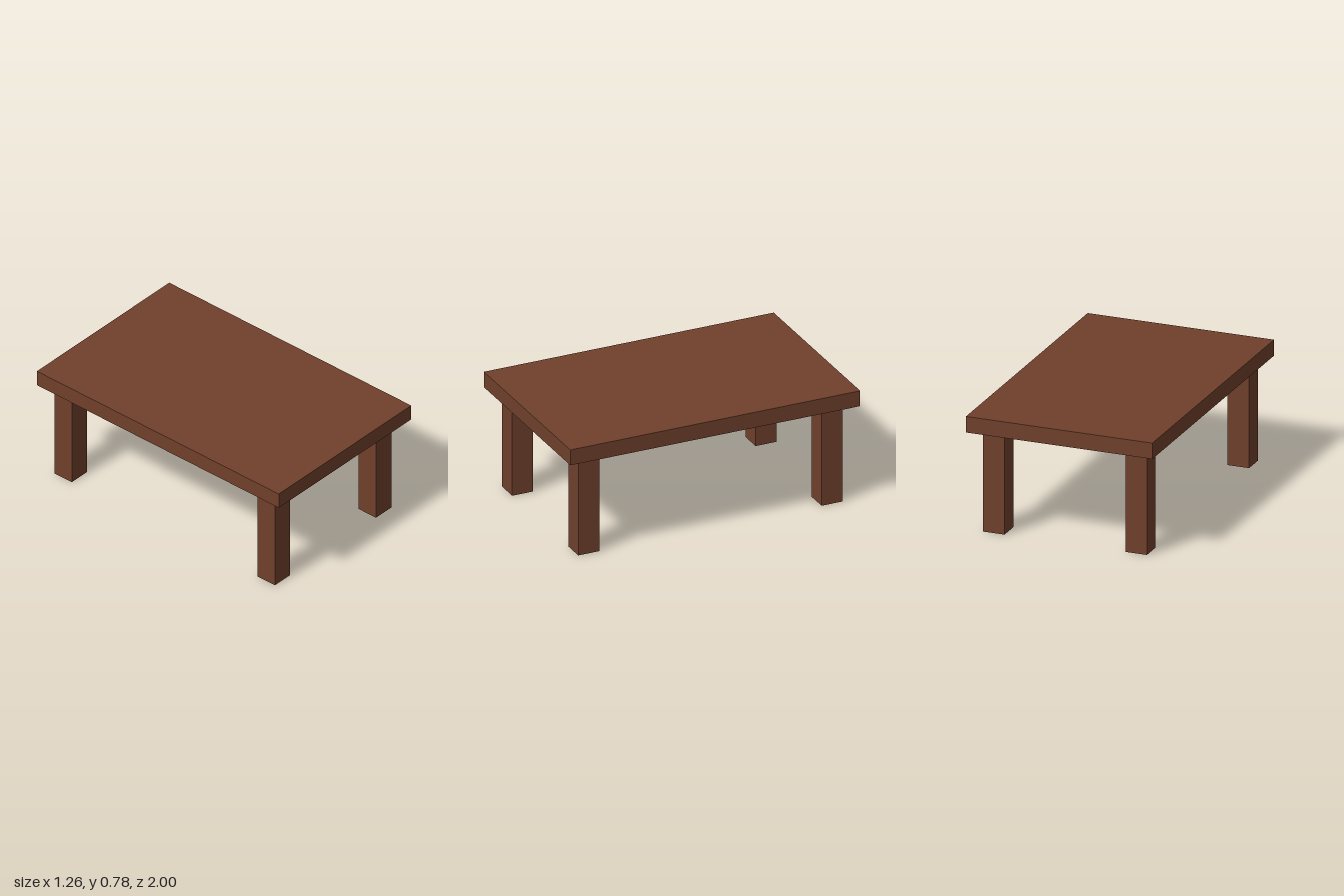
import * as THREE from 'three';

export function createModel() {
  const table = new THREE.Group();
  table.name = 'table';
  const brownWood = new THREE.MeshStandardMaterial({ color: 0x70402b });
  brownWood.name = 'brownWood';

  const addBox = (name, w, h, d, x, y, z) => {
    const mesh = new THREE.Mesh(new THREE.BoxGeometry(w, h, d), brownWood);
    mesh.name = name;
    mesh.position.set(x, y, z);
    table.add(mesh);
  };

  // Slab top
  const legHeight = 0.676, topThickness = 0.106, legWidth = 0.145;
  addBox('tableTop', 1.256, topThickness, 2, 0, legHeight + topThickness / 2, 0);

  // Four square legs, set very slightly off centre
  for (const [side, x] of [['Left', 0.474], ['Right', -0.485]]) {
    for (const [end, z] of [['front', 0.834], ['back', -0.845]]) {
      addBox(`${end}${side}Leg`, legWidth, legHeight, legWidth, x, legHeight / 2, z);
    }
  }
  return table;
}
